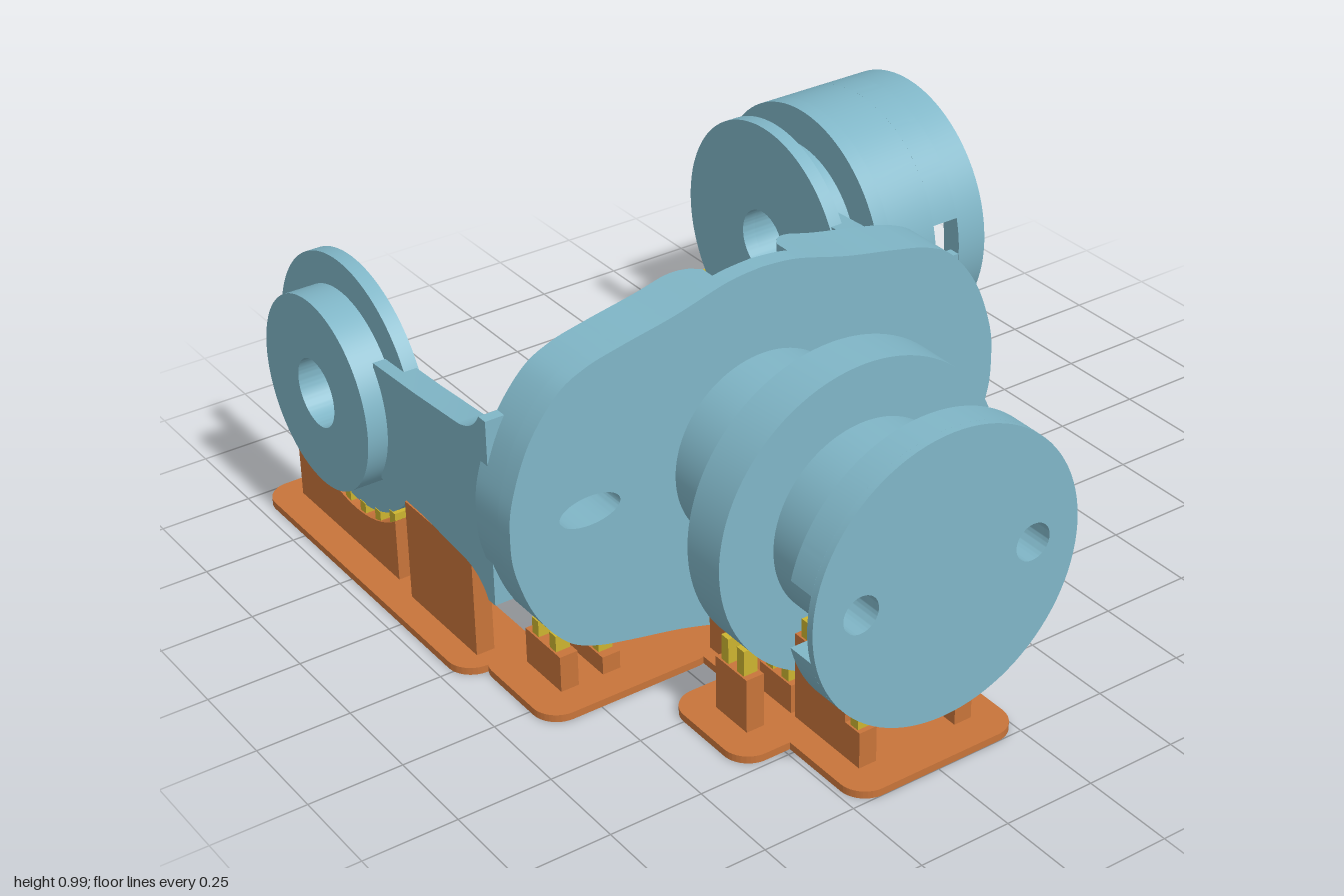
import * as THREE from 'three';
import { toCreasedNormals } from 'three/addons/utils/BufferGeometryUtils.js';

const mat = (name, color) => {
  const m = new THREE.MeshStandardMaterial({ color });
  m.name = name;
  return m;
};

export function createModel() {
  const blue = mat('steelBlue', 0x80b6c7);
  const orange = mat('supportOrange', 0xc8743a);
  const yellow = mat('tipYellow', 0xccb430);
  const group = new THREE.Group();
  const CY = 0.5, HZ = 0.21, EX = -0.61; // axis height, hub axis z, eye axis x

  const add = (name, geo, material) => {
    const m = new THREE.Mesh(geo, material);
    m.name = name;
    group.add(m);
    return m;
  };
  const box = (name, x0, x1, y0, y1, z0, z1, material = blue) =>
    add(name, new THREE.BoxGeometry(x1 - x0, y1 - y0, z1 - z0), material)
      .position.set((x0 + x1) / 2, (y0 + y1) / 2, (z0 + z1) / 2);
  const extrude = (shape, depth) =>
    new THREE.ExtrudeGeometry(shape, { depth, bevelEnabled: false, curveSegments: 48 });
  const smooth = (g) => toCreasedNormals(g, 0.5);
  const hole = (u, v, rx, ry = rx) => new THREE.Path().absellipse(u, v, rx, ry, 0, Math.PI * 2, true);
  const disc = (r, holes = []) => {
    const s = new THREE.Shape().absarc(0, 0, r, 0, Math.PI * 2, false);
    s.holes.push(...holes);
    return s;
  };
  // Extrusion along the hub axis (+x); shape u runs towards -z
  const alongX = (name, shape, x0, x1) =>
    add(name, smooth(extrude(shape, x1 - x0).rotateY(Math.PI / 2)), blue).position.set(x0, CY, HZ);
  // Extrusion along the eye axis (+z)
  const alongZ = (name, shape, z0, z1) =>
    add(name, smooth(extrude(shape, z1 - z0)), blue).position.set(EX, CY, z0);

  // Yoke plate with slots and a bore
  const right = new THREE.SplineCurve([
    [0, 0.49], [0.1, 0.48], [0.25, 0.44], [0.4, 0.41], [0.5, 0.385], [0.58, 0.34], [0.66, 0.235], [0.71, 0.1],
    [0.72, 0], [0.71, -0.1], [0.66, -0.235], [0.58, -0.34], [0.5, -0.385], [0.4, -0.41], [0.25, -0.44],
    [0.1, -0.48], [0, -0.49],
  ].map(([u, v]) => new THREE.Vector2(u, v))).getPoints(120);
  const left = right.slice(1, -1).reverse().map((p) => new THREE.Vector2(-p.x, p.y));
  const plate = new THREE.Shape([...right, ...left].reverse());
  plate.holes.push(hole(0.5, 0, 0.085, 0.04), hole(-0.5, 0, 0.085, 0.04), hole(0, 0, 0.11));
  alongX('yokePlate', plate, 0.2, 0.25);

  // Raised rim in two halves, rounded down at the central gaps
  const outer = right.filter((p) => p.x >= 0.1);
  const inner = outer.map((p) => new THREE.Vector2(0.1 + (p.x - 0.1) * 0.89, p.y * 0.87)).reverse();
  for (const s of [1, -1]) {
    const rim = new THREE.Shape([...outer, ...inner].map((p) => new THREE.Vector2(p.x * s, p.y)));
    const g = extrude(rim, 0.1), p = g.attributes.position;
    for (let i = 0; i < p.count; i++) {
      const d = 0.2 - Math.abs(p.getX(i));
      if (p.getZ(i) < 0.05 && d > 0) p.setZ(i, 0.1 - Math.sqrt(Math.max(0, 0.01 - d * d)));
    }
    g.computeVertexNormals();
    add('yokeRim', smooth(g.rotateY(Math.PI / 2)), blue).position.set(0.1, CY, HZ);
    const boss = new THREE.Shape().absellipse(s * 0.5, 0, 0.115, 0.07, 0, Math.PI * 2, false);
    boss.holes.push(hole(s * 0.5, 0, 0.085, 0.04));
    alongX('slotBoss', boss, 0.15, 0.2);
    box('innerTab', 0.11, 0.2, 0.47, 0.53, HZ + s * 0.16 - 0.025, HZ + s * 0.16 + 0.025);
    box('stopLug', 0.175, 0.21, 0.47, 0.53, HZ + s * 0.065 - 0.025, HZ + s * 0.065 + 0.025);
  }

  // Hub shaft, middle flange and notched end disc
  alongX('hubShaft', disc(0.257, [hole(0, 0, 0.11)]), 0.25, 0.875);
  alongX('middleFlange', disc(0.41, [hole(0, 0, 0.2)]), 0.52, 0.645);
  box('flangeTab', 0.52, 0.645, 0.455, 0.545, -0.275, -0.18);
  const pinHoles = () => [hole(0.25, 0, 0.05), hole(-0.25, 0, 0.05)];
  const R = 0.385, a = Math.asin(0.09 / R), notched = new THREE.Shape();
  notched.absarc(0, 0, R, a, Math.PI - a, false);
  notched.lineTo(-0.315, 0.09).lineTo(-0.315, -0.09);
  notched.absarc(0, 0, R, Math.PI + a, Math.PI * 2 - a, false);
  notched.lineTo(0.315, -0.09).lineTo(0.315, 0.09);
  notched.holes = pinHoles();
  alongX('endDiscNotched', notched, 0.87, 0.945);
  alongX('endDiscFace', disc(R, pinHoles()), 0.945, 0.965);

  // Arms with flared roots
  const arm = new THREE.Shape();
  arm.moveTo(-0.4, -0.165).lineTo(-0.2, -0.17).lineTo(0, -0.19);
  arm.quadraticCurveTo(0.07, -0.2, 0.1, -0.255).lineTo(0.13, -0.255).lineTo(0.13, 0.255).lineTo(0.1, 0.255);
  arm.quadraticCurveTo(0.07, 0.2, 0, 0.19).lineTo(-0.2, 0.175).lineTo(-0.4, 0.165);
  for (const [name, z] of [['frontArm', 0.84], ['rearArm', -0.49]])
    add(name, smooth(extrude(arm, 0.07)), blue).position.set(0, CY, z);
  box('rearArmBlock', -0.33, -0.1, 0.415, 0.59, -0.57, -0.48);

  // Eye discs, bosses and the pins facing each other
  const bore = () => [hole(0, 0, 0.092)];
  alongZ('frontEyeDisc', disc(0.345, bore()), 0.835, 0.875);
  alongZ('frontEyeBoss', disc(0.26, bore()), 0.875, 0.965);
  alongZ('rearEyeDisc', disc(0.345, bore()), -0.455, -0.415);
  alongZ('rearEyeNeck', disc(0.26, bore()), -0.54, -0.455);
  box('frontPin', EX - 0.033, EX + 0.033, 0.18, 0.24, 0.705, 0.84);
  box('rearPin', EX - 0.033, EX + 0.033, 0.18, 0.24, -0.42, -0.285);

  // Rear cup, open to the back, with a window on each side
  const CR = 0.363, CI = 0.3;
  alongZ('cupFloor', disc(CR, bore()), -0.585, -0.54);
  alongZ('cupWallInner', disc(CR, [hole(0, 0, CI)]), -0.73, -0.585);
  alongZ('cupWallOuter', disc(CR, [hole(0, 0, CI)]), -0.9, -0.81);
  const w = 0.275;
  for (const t of [0, Math.PI]) {
    const arc = new THREE.Shape().absarc(0, 0, CR, t + w, t + Math.PI - w, false);
    arc.absarc(0, 0, CI, t + Math.PI - w, t + w, true);
    alongZ('cupWindowWall', arc, -0.81, -0.73);
    const peg = add('cupPeg', new THREE.CylinderGeometry(0.045, 0.045, 0.1, 24).rotateX(Math.PI / 2), blue);
    peg.position.set(EX + Math.cos(t) * 0.24, CY, -0.63);
  }

  // Base raft made from overlapping rounded pads
  const pad = (x0, x1, z0, z1) => {
    const r = 0.07, s = new THREE.Shape(), q = Math.PI / 2;
    s.absarc(x1 - r, -z0 - r, r, 0, q, false);
    s.absarc(x0 + r, -z0 - r, r, q, 2 * q, false);
    s.absarc(x0 + r, -z1 + r, r, 2 * q, 3 * q, false);
    s.absarc(x1 - r, -z1 + r, r, 3 * q, 4 * q, false);
    add('basePad', smooth(extrude(s, 0.02).rotateX(-Math.PI / 2)), orange);
  };
  [[-1, -0.31, -0.975, -0.33], [-0.45, 0.08, -0.56, -0.33], [0.01, 0.335, -0.42, 0.07],
    [-0.98, 0.05, 0.745, 0.965], [0.01, 0.335, 0.4, 0.9], [0.2, 0.55, -0.02, 0.45],
    [0.43, 0.735, -0.145, 0.625], [0.6, 1, 0, 0.485]].forEach((p) => pad(...p));

  // Straight support walls with small break-off tips
  const wall = (x0, x1, z, top, tipTop, n) => {
    box('supportWall', x0, x1, 0.01, top, z - 0.025, z + 0.025, orange);
    for (let i = 0; i < n; i++) {
      const x = x0 + ((i + 0.5) / n) * (x1 - x0);
      box('supportTip', x - 0.014, x + 0.014, top, tipTop, z - 0.02, z + 0.02, yellow);
    }
  };
  wall(-0.315, 0, 0.87, 0.305, 0.335, 4);
  wall(-0.315, 0, -0.445, 0.305, 0.335, 4);
  for (const [z, top, tip] of [[0.785, 0.12, 0.165], [0.665, 0.07, 0.1], [-0.175, 0.05, 0.08], [-0.305, 0.1, 0.14]])
    wall(0.095, 0.25, z, top, tip, 2);
  for (const z of [0.39, 0.105]) {
    wall(0.31, 0.51, z, 0.26, 0.31, 3);
    wall(0.66, 0.855, z, 0.26, 0.31, 3);
    wall(0.855, 0.91, z, 0.12, 0.165, 1);
  }
  for (const [z, top, tip] of [[0.52, 0.17, 0.24], [0.39, 0.1, 0.14], [0.235, 0.07, 0.1], [-0.035, 0.13, 0.18]])
    wall(0.52, 0.645, z, top, tip, 2);

  // Cradle walls curved to follow the eye disc and cup
  const cradle = (z, r) => {
    const gap = r + 0.025, s = new THREE.Shape();
    const bottom = (x) => CY - Math.sqrt(gap * gap - (x - EX) ** 2);
    s.moveTo(-0.91, 0.01).lineTo(-0.4, 0.01);
    for (let i = 0; i <= 20; i++) {
      const x = -0.4 - (i / 20) * 0.51;
      s.lineTo(x, bottom(x));
    }
    add('cradleWall', extrude(s, 0.05), orange).position.z = z - 0.025;
    for (let i = 0; i < 7; i++) {
      const x = -0.89 + i * 0.078, y = bottom(x);
      box('cradleTip', x - 0.014, x + 0.014, y - 0.01, y + 0.03, z - 0.02, z + 0.02, yellow);
    }
  };
  cradle(0.857, 0.345);
  cradle(-0.437, 0.345);
  for (const z of [-0.575, -0.715, -0.855]) cradle(z, CR);

  return group;
}
